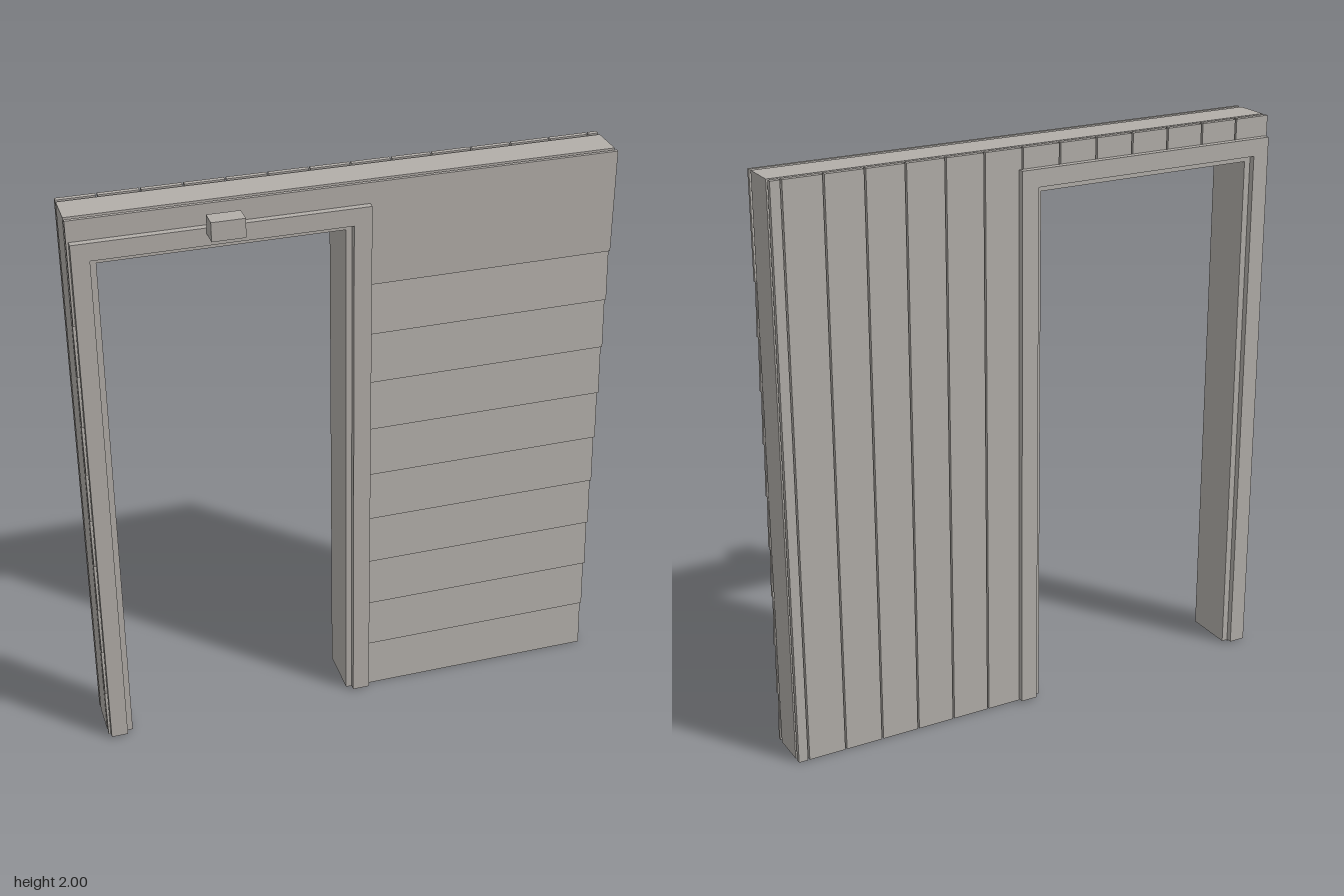
import * as THREE from 'three';

const wallGrey = new THREE.MeshStandardMaterial({ color: 0xb2aea9 });
wallGrey.name = 'wallGrey';

// Wall extents and door opening
const L = -0.905, R = 0.905, H = 2;
const D0 = -0.84, D1 = 0, DH = 1.87;

export function createModel() {
  const model = new THREE.Group();
  model.name = 'wallWithDoorway';

  const add = (parent, name, geometry) => {
    const mesh = new THREE.Mesh(geometry, wallGrey);
    mesh.name = name;
    parent.add(mesh);
    return mesh;
  };
  const group = (name) => {
    const g = new THREE.Group();
    g.name = name;
    model.add(g);
    return g;
  };
  const box = (parent, name, x0, x1, y0, y1, z0, z1) =>
    add(parent, name, new THREE.BoxGeometry(x1 - x0, y1 - y0, z1 - z0))
      .position.set((x0 + x1) / 2, (y0 + y1) / 2, (z0 + z1) / 2);

  // Upside-down U: outer rectangle with a doorway cut up from the bottom
  const portal = (name, [ox0, ox1, oTop], [ix0, ix1, iTop], y0, z0, z1) => {
    const pts = [[ox0, y0], [ix0, y0], [ix0, iTop], [ix1, iTop],
      [ix1, y0], [ox1, y0], [ox1, oTop], [ox0, oTop]];
    const shape = new THREE.Shape(pts.map(([x, y]) => new THREE.Vector2(x, y)));
    const geo = new THREE.ExtrudeGeometry(shape, { depth: z1 - z0, bevelEnabled: false });
    geo.translate(0, 0, z0);
    add(model, name, geo);
  };

  // Wall core with its slightly larger rough opening, and the door frame
  portal('wallCore', [L, R, H], [D0 - 0.012, D1 + 0.03, DH + 0.01], 0, -0.092, 0.028);
  portal('doorJamb', [D0, D1, DH], [D0 + 0.022, D1 - 0.02, DH - 0.02], 0.004, -0.122, 0.058);
  portal('frontTrim', [-0.898, 0.06, 1.93], [D0, D1, DH], 0.006, 0.058, 0.081);
  portal('backTrim', [-0.898, 0.06, 1.93], [D0, D1, DH], 0.006, -0.144, -0.122);

  // Lapped front siding: tilted slats on both sides of the door
  const siding = group('frontSiding');
  const lap = 1.642 / 9;
  const slat = (x0, x1, y0, y1) => {
    const shape = new THREE.Shape([[0.055, y0], [0.043, y1], [0.031, y1], [0.043, y0]]
      .map(([z, y]) => new THREE.Vector2(-z, y)));
    const geo = new THREE.ExtrudeGeometry(shape, { depth: x1 - x0, bevelEnabled: false });
    geo.rotateY(Math.PI / 2);
    geo.translate(x0, 0, 0);
    add(siding, 'sidingSlat', geo);
  };
  for (let i = 0; i < 9; i++) {
    slat(L, D0, i * lap, (i + 1) * lap);
    slat(D1, R, i * lap, (i + 1) * lap);
  }
  // Tall flat panel above the slats
  portal('topSidingPanel', [L, R, H], [D0, D1, DH], 9 * lap, 0.043, 0.055);

  // Vertical boards on the back, cut short above the door
  const boards = group('backBoards');
  const pitch = 0.137, gap = 0.003;
  for (let a = -0.912; a < R; a += pitch) {
    const x0 = Math.max(L, a + gap), x1 = Math.min(R, a + pitch - gap);
    const cuts = [x0, ...[D0, D1].filter((c) => c > x0 && c < x1), x1];
    for (let k = 0; k + 1 < cuts.length; k++) {
      const mid = (cuts[k] + cuts[k + 1]) / 2;
      const bottom = mid > D0 && mid < D1 ? DH : 0;
      box(boards, 'backBoard', cuts[k], cuts[k + 1], bottom, H, -0.122, -0.105);
    }
  }

  // Small box fixed over the door
  box(model, 'doorLamp', -0.475, -0.365, 1.91, 1.975, 0.081, 0.143);

  return model;
}
